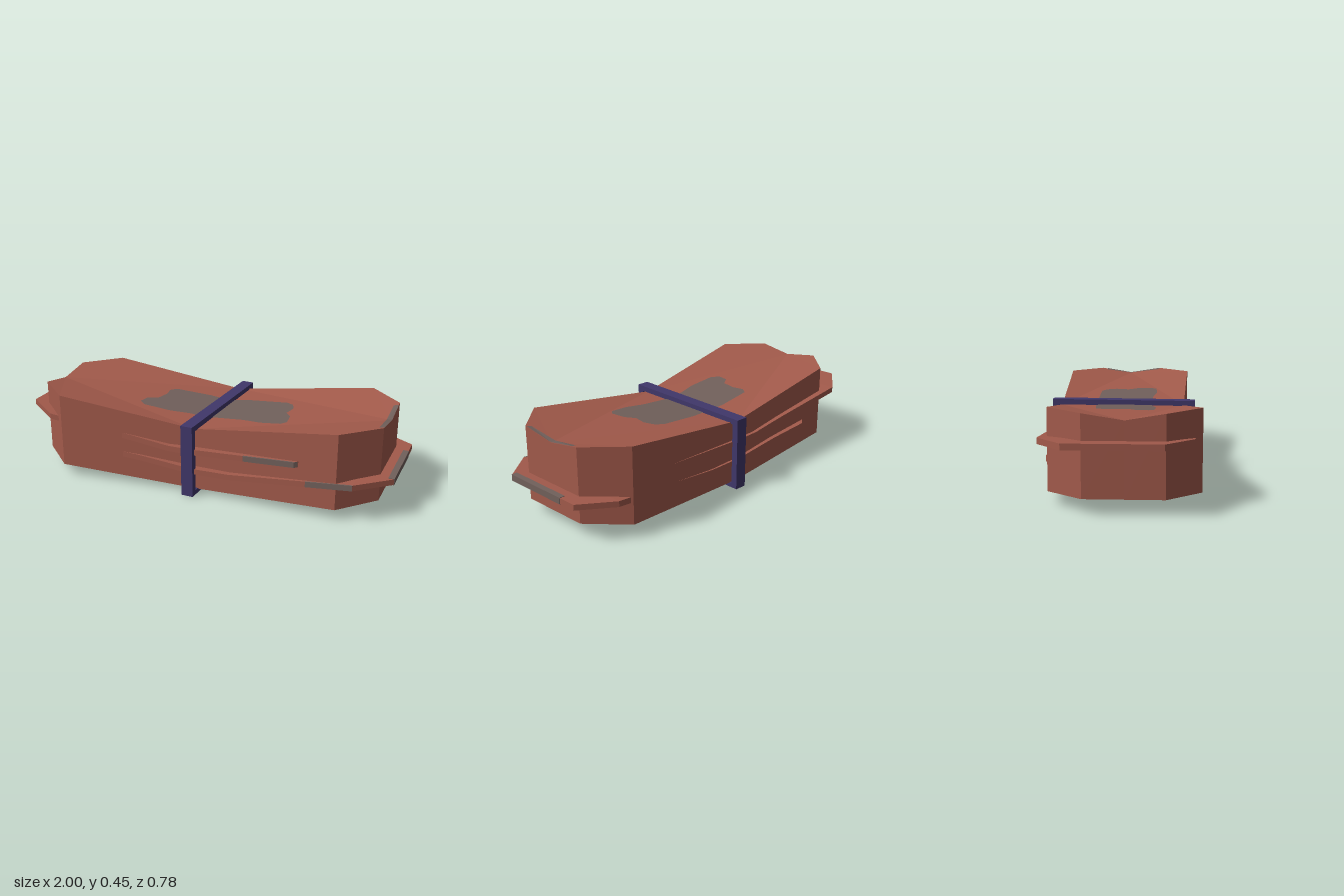
import * as THREE from 'three';

const leather = new THREE.MeshStandardMaterial({ color: 0xa25a4b });
leather.name = 'redBrown';
const stain = new THREE.MeshStandardMaterial({ color: 0x71605b, side: THREE.DoubleSide });
stain.name = 'greyStain';
const cord = new THREE.MeshStandardMaterial({ color: 0x40376a });
cord.name = 'indigoStrap';

// Flat-faced geometry from a list of convex polygons
function facets(polys) {
  const pos = [];
  for (const p of polys)
    for (let i = 1; i < p.length - 1; i++) pos.push(...p[0], ...p[i], ...p[i + 1]);
  const g = new THREE.BufferGeometry();
  g.setAttribute('position', new THREE.Float32BufferAttribute(pos, 3));
  g.computeVertexNormals();
  return g;
}

// Rectangular cross-sections [x, yMiddle, thickness, zBack, zFront] joined along x
function loft(sections) {
  const rings = sections.map(([x, y, t, z0, z1]) => [
    [x, y - t / 2, z1], [x, y + t / 2, z1], [x, y + t / 2, z0], [x, y - t / 2, z0]]);
  const polys = [rings[0], [...rings[rings.length - 1]].reverse()];
  for (let i = 0; i < rings.length - 1; i++) {
    const a = rings[i], b = rings[i + 1];
    for (let k = 0; k < 4; k++) {
      const n = (k + 1) % 4;
      polys.push([a[k], b[k], b[n], a[n]]);
    }
  }
  return facets(polys);
}

export function createModel() {
  const model = new THREE.Group();
  const add = (name, geometry, material) => {
    const m = new THREE.Mesh(geometry, material);
    m.name = name;
    model.add(m);
    return m;
  };

  // Bundle body: outline [x, z, yBottom, yTop], pinched at the waist
  const outline = [
    [-0.91, 0.04, 0.07, 0.42], [-0.91, 0.22, 0.07, 0.45], [-0.73, 0.385, 0.06, 0.45],
    [0, 0.31, 0.02, 0.35], [0.75, 0.345, 0.06, 0.45], [0.925, 0.18, 0.07, 0.45],
    [0.925, -0.01, 0.07, 0.42], [0.925, -0.19, 0.07, 0.45], [0.75, -0.363, 0.06, 0.45],
    [0, -0.34, 0.02, 0.35], [-0.74, -0.32, 0.06, 0.45], [-0.91, -0.15, 0.07, 0.45]];
  const low = outline.map(([x, z, b]) => [x, b, z]);
  const high = outline.map(([x, z, , t]) => [x, t, z]);
  const polys = [];
  low.forEach((p, i) => {
    const n = (i + 1) % low.length;
    polys.push([p, low[n], high[n], high[i]]);
  });
  for (const fan of [[0, 1, 2, 3, 9, 10, 11], [6, 7, 8, 9, 3, 4, 5]]) {
    polys.push(fan.map(i => high[i]));
    polys.push(fan.map(i => low[i]).reverse());
  }
  add('bundleBody', facets(polys), leather);

  // Two thin inner sheets, each sticking out at one end
  const T = 0.029, F = 0.35, B = -0.355;
  add('upperSheet', loft([
    [-1, 0.32, T, -0.23, 0.215], [-0.82, 0.31, T, B, F], [-0.33, 0.262, T, B, F],
    [-0.13, 0.238, T, B, F], [0, 0.238, T, B, F], [0.54, 0.263, T, B, F],
    [0.72, 0.275, T, -0.23, 0.215]]), leather);
  add('lowerSheet', loft([
    [-0.72, 0.18, T, -0.23, 0.215], [-0.54, 0.17, T, B, F], [-0.29, 0.158, T, B, F],
    [0, 0.132, T, B, F], [0.2, 0.135, T, B, F], [0.83, 0.193, T, B, F],
    [0.998, 0.197, T, -0.24, 0.215]]), leather);

  // Stains on the sheet edges
  add('upperSheetStain', loft([
    [0.28, 0.251, T, 0.345, 0.352], [0.54, 0.263, T, 0.345, 0.352],
    [0.556, 0.264, T, 0.334, 0.341]]), stain);
  add('lowerSheetStain', loft([
    [0.6, 0.172, T, 0.345, 0.352], [0.83, 0.193, T, 0.345, 0.352]]), stain);
  add('sheetTipStain', loft([
    [0.97, 0.197, T + 0.004, -0.145, 0.215], [1, 0.197, T + 0.004, -0.145, 0.215]]), stain);

  // Stain along the rim of the left end
  add('rimStain', facets([
    [[0.9, 0.446, 0.17], [0.926, 0.451, 0.17], [0.926, 0.423, -0.01], [0.9, 0.423, -0.01]],
    [[0.9, 0.423, -0.01], [0.926, 0.423, -0.01], [0.926, 0.448, -0.16], [0.9, 0.443, -0.16]]]), stain);

  // Blotches on top and bottom, folded at the waist
  const halves = [
    [[0, -0.14], [0.13, -0.155], [0.34, -0.152], [0.38, -0.125], [0.4, -0.07], [0.385, 0],
      [0.42, 0.05], [0.43, 0.13], [0.405, 0.16], [0.3, 0.165], [0.2, 0.145], [0, 0.14]],
    [[0, 0.14], [-0.1, 0.145], [-0.2, 0.165], [-0.35, 0.162], [-0.39, 0.13], [-0.38, 0.07],
      [-0.33, 0.04], [-0.315, -0.04], [-0.325, -0.1], [-0.3, -0.135], [-0.1, -0.15], [0, -0.14]]];
  const blotch = (name, y0, rise, points) => {
    const g = new THREE.ShapeGeometry(new THREE.Shape(points.map(([x, z]) => new THREE.Vector2(x, -z))));
    const p = g.attributes.position;
    for (let i = 0; i < p.count; i++)
      p.setXYZ(i, p.getX(i), y0 + rise * Math.abs(p.getX(i)), -p.getY(i));
    g.computeVertexNormals();
    add(name, g, stain);
  };
  for (const half of halves) {
    blotch('topBlotch', 0.353, 0.077, half);
    blotch('bottomBlotch', 0.017, 0.054, half);
  }

  // Strap: a closed square band, slightly askew
  const band = new THREE.Shape([[-0.38, 0], [0.38, 0], [0.38, 0.38], [-0.38, 0.38]]
    .map(p => new THREE.Vector2(...p)));
  band.holes.push(new THREE.Path([[-0.345, 0.025], [-0.345, 0.35], [0.345, 0.35], [0.345, 0.025]]
    .map(p => new THREE.Vector2(...p))));
  const strapGeometry = new THREE.ExtrudeGeometry(band, { depth: 0.064, bevelEnabled: false });
  strapGeometry.translate(0, 0, -0.032);
  strapGeometry.rotateY(Math.PI / 2 - 0.053);
  const strap = add('strap', strapGeometry, cord);
  strap.position.set(0.005, 0, -0.01);

  return model;
}
